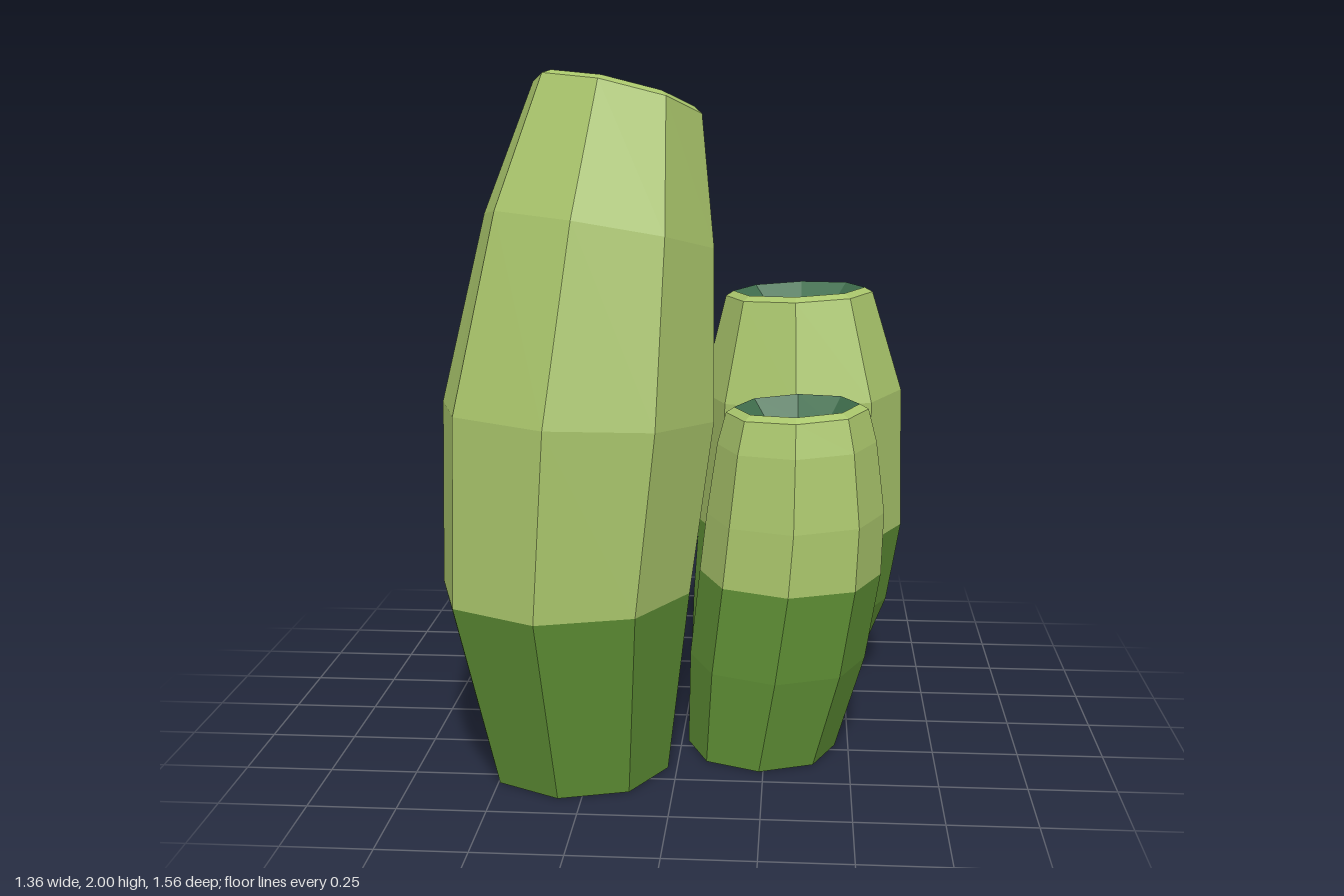
import * as THREE from 'three';

const SIDES = 8;
const SPLIT = 0.54; // height where the dark foot meets the pale upper stalk

// Each ring: [centre x, centre y, centre z, radius, slope along x, slope along z]
const TUBES = [
  { name: 'tallTube', turn: 0.10, rings: [
    [-0.29, 0, 0.39, 0.265, 0, 0],
    [-0.322, SPLIT, 0.41, 0.362, 0, 0],
    [-0.285, 1.05, 0.39, 0.392, -0.05, 0.05],
    [-0.225, 1.555, 0.345, 0.328, -0.15, 0.15],
    [-0.175, 1.92, 0.295, 0.24, -0.2, 0.2],
  ] },
  { name: 'leaningTube', turn: 0.10, rings: [
    [-0.34, 0, -0.44, 0.22, 0, 0],
    [-0.345, 0.46, -0.5, 0.28, 0, 0],
    [-0.345, SPLIT, -0.495, 0.28, 0, 0],
    [-0.34, 0.92, -0.465, 0.28, -0.03, -0.1],
    [-0.31, 1.38, -0.345, 0.262, -0.08, -0.28],
    [-0.24, 1.69, -0.225, 0.19, -0.1, -0.38],
  ] },
  { name: 'mediumTube', turn: 0.04, rings: [
    [0.255, 0, -0.41, 0.27, 0, 0],
    [0.315, 0.28, -0.39, 0.32, 0, 0],
    [0.345, SPLIT, -0.372, 0.332, 0, 0],
    [0.345, 0.98, -0.365, 0.322, 0.03, 0],
    [0.335, 1.295, -0.37, 0.235, 0.04, 0],
  ] },
  { name: 'shortTube', turn: 0.01, rings: [
    [0.24, 0, 0.21, 0.22, 0, 0],
    [0.285, 0.28, 0.212, 0.26, 0, 0],
    [0.32, SPLIT, 0.215, 0.267, 0, 0],
    [0.333, 0.72, 0.215, 0.26, 0.02, 0],
    [0.335, 0.93, 0.213, 0.232, 0.03, 0],
    [0.335, 1.025, 0.21, 0.207, 0.04, 0],
  ] },
];

// Corner j of a ring lying in its sloped plane
function corner([cx, cy, cz, r, sx, sz], j, turn) {
  const a = (j / SIDES) * Math.PI * 2 + turn;
  const dx = r * Math.cos(a), dz = r * Math.sin(a);
  return [cx + dx, cy + sx * dx + sz * dz, cz + dz];
}

// Faceted skin through a stack of rings; a ring of radius 0 closes an end
function loft(rings, turn) {
  const pos = [];
  for (let i = 0; i < rings.length - 1; i++) {
    for (let j = 0; j < SIDES; j++) {
      const a = corner(rings[i], j, turn), b = corner(rings[i + 1], j, turn);
      const c = corner(rings[i + 1], j + 1, turn), d = corner(rings[i], j + 1, turn);
      if (rings[i + 1][3] > 0) pos.push(...a, ...b, ...c);
      if (rings[i][3] > 0) pos.push(...a, ...c, ...d);
    }
  }
  const geo = new THREE.BufferGeometry();
  geo.setAttribute('position', new THREE.Float32BufferAttribute(pos, 3));
  geo.computeVertexNormals();
  return geo;
}

// Copy of a ring moved along its own axis, with a new radius
function shifted([x, y, z, , sx, sz], distance, radius) {
  return [x - sx * distance, y + distance, z - sz * distance, radius, sx, sz];
}

export function createModel() {
  const mat = (name, color) => {
    const m = new THREE.MeshStandardMaterial({ color, flatShading: true });
    m.name = name;
    return m;
  };
  const footGreen = mat('foot green', 0x5f9035);
  const paleGreen = mat('pale green', 0xa9c56b);
  const mouthGreen = mat('mouth teal green', 0x41704f);

  const model = new THREE.Group();
  model.name = 'tubeCluster';

  for (const { name, turn, rings } of TUBES) {
    const tube = new THREE.Group();
    tube.name = name;
    const add = (part, profile, material) => {
      const mesh = new THREE.Mesh(loft(profile, turn), material);
      mesh.name = part;
      tube.add(mesh);
    };
    const split = rings.findIndex((r) => r[1] === SPLIT);
    const rim = rings[rings.length - 1];
    const lip = shifted(rim, 0.015, rim[3] - 0.025);
    const floor = shifted(rim, -0.05, lip[3] * 0.7);

    // Foot with its closed underside
    add('foot', [shifted(rings[0], 0, 0), ...rings.slice(0, split + 1)], footGreen);
    // Upper stalk with a bevelled lip
    add('stalk', [...rings.slice(split), lip], paleGreen);
    // Shallow hollow mouth
    add('mouth', [lip, floor, shifted(floor, 0, 0)], mouthGreen);
    model.add(tube);
  }
  return model;
}
